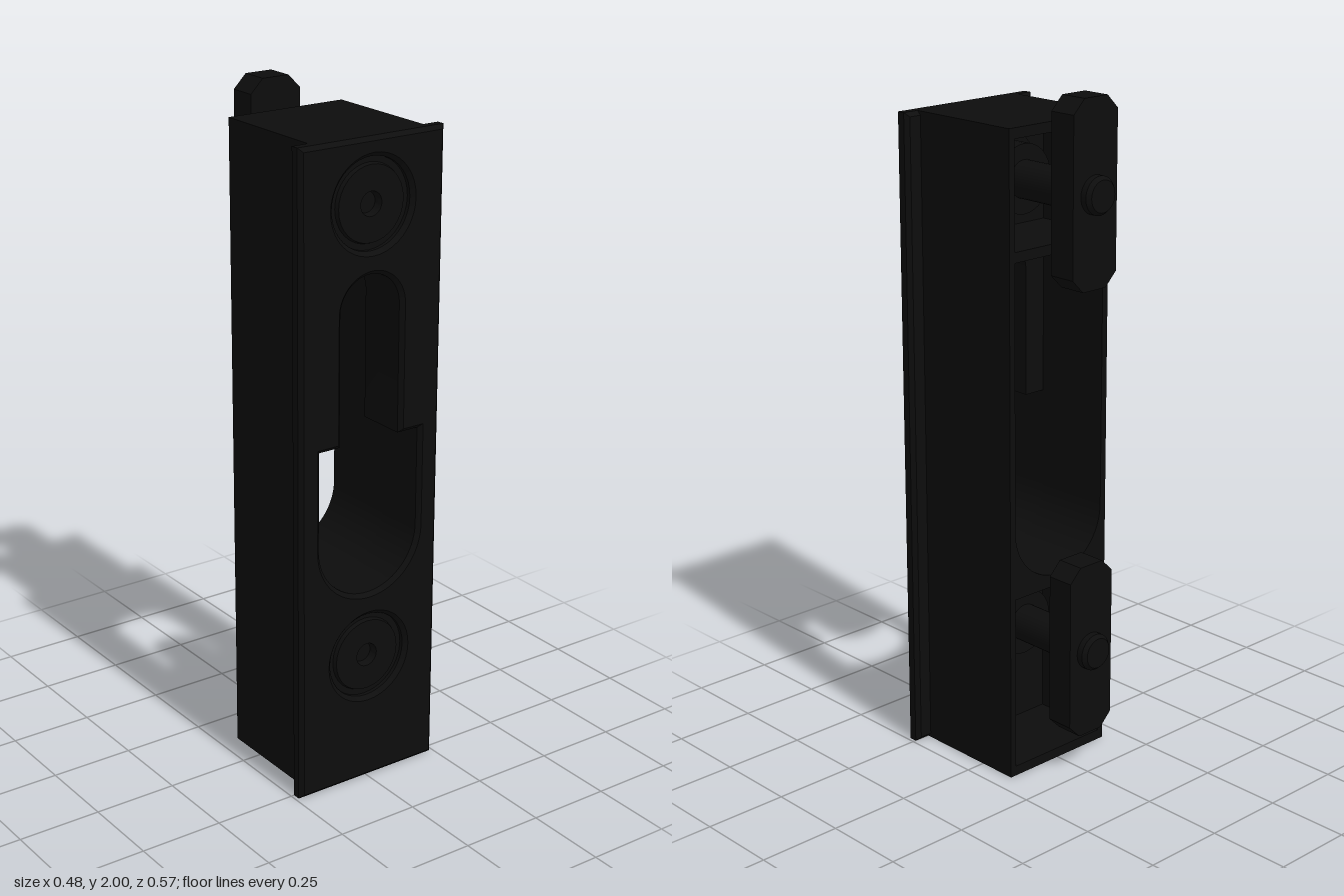
import * as THREE from 'three';
import { toCreasedNormals } from 'three/addons/utils/BufferGeometryUtils.js';

const BOLT_HEIGHTS = [0.395, 1.735];
const TOP = 1.92;

// closed outline from corner points
function outline(points, Type = THREE.Shape) {
  const s = new Type();
  points.forEach(([x, y], i) => (i ? s.lineTo(x, y) : s.moveTo(x, y)));
  s.closePath();
  return s;
}

const rect = (w, y0, y1, Type) => outline([[-w, y0], [w, y0], [w, y1], [-w, y1]], Type);

// stepped keyhole: narrow arched slot over a wide round-bottomed one
function keyhole() {
  const p = new THREE.Path();
  p.moveTo(0.17, 1.06);
  p.lineTo(0.1, 1.06);
  p.lineTo(0.1, 1.44);
  p.absarc(0, 1.44, 0.1, 0, Math.PI, false);
  p.lineTo(-0.1, 1.06);
  p.lineTo(-0.17, 1.06);
  p.lineTo(-0.17, 0.765);
  p.absarc(0, 0.765, 0.17, Math.PI, Math.PI * 2, false);
  p.lineTo(0.17, 1.06);
  return p;
}

// open-backed middle chamber, as wide as the lower slot
function chamber() {
  const p = new THREE.Path();
  p.moveTo(0.17, 1.55);
  p.lineTo(-0.17, 1.55);
  p.lineTo(-0.17, 0.765);
  p.absarc(0, 0.765, 0.17, Math.PI, Math.PI * 2, false);
  p.lineTo(0.17, 1.55);
  return p;
}

function boltHoles() {
  return BOLT_HEIGHTS.map((y) => {
    const p = new THREE.Path();
    p.absarc(0, y, 0.13, 0, Math.PI * 2, true);
    return p;
  });
}

// extrude a shape between two depths, with an optional edge bevel
function slab(shape, z0, z1, bevel = 0) {
  const geo = new THREE.ExtrudeGeometry(shape, {
    depth: z1 - z0 - 2 * bevel,
    bevelEnabled: bevel > 0,
    bevelThickness: bevel,
    bevelSize: bevel,
    bevelOffset: -bevel,
    bevelSegments: 1,
    curveSegments: 20,
  });
  geo.translate(0, 0, z0 + bevel);
  return toCreasedNormals(geo, 0.5);
}

export function createModel() {
  const model = new THREE.Group();
  model.name = 'lockKeeper';
  const black = new THREE.MeshStandardMaterial({ color: 0x0d0d0d });
  black.name = 'black';

  const add = (name, geo, y = 0) => {
    const mesh = new THREE.Mesh(geo, black);
    mesh.name = name;
    mesh.position.y = y;
    model.add(mesh);
  };

  // wide front plate with softened edges
  const face = rect(0.24, 0, TOP);
  face.holes.push(keyhole(), ...boltHoles());
  add('facePlate', slab(face, 0.237, 0.285, 0.012));

  // thick front wall of the housing
  const wall = rect(0.19, 0, TOP);
  wall.holes.push(keyhole(), ...boltHoles());
  add('frontWall', slab(wall, 0.12, 0.271));

  // thin-walled housing, open at the back
  const shell = rect(0.19, 0, TOP);
  shell.holes.push(
    rect(0.17, 0.03, 0.56, THREE.Path),
    chamber(),
    rect(0.17, 1.58, 1.89, THREE.Path),
  );
  add('housing', slab(shell, -0.122, 0.12));

  // bolt turned in one piece: tip, shank, boss, recessed head and socket
  const profile = [
    [0, -0.288], [0.045, -0.288], [0.055, -0.276], [0.055, 0.02],
    [0.1, 0.02], [0.1, 0.11], [0.13, 0.11], [0.13, 0.262],
    [0.112, 0.262], [0.108, 0.274], [0.035, 0.274], [0.03, 0.25], [0, 0.25],
  ].map(([r, y]) => new THREE.Vector2(r, y));
  const bolt = toCreasedNormals(new THREE.LatheGeometry(profile, 32), 0.5);
  bolt.rotateX(Math.PI / 2);

  // clamping tab with cut corners
  const w = 0.083, h = 0.265, c = 0.04;
  const tab = slab(outline([
    [-w + c, -h], [w - c, -h], [w, -h + c], [w, h - c],
    [w - c, h], [-w + c, h], [-w, h - c], [-w, -h + c],
  ]), -0.257, -0.172);

  BOLT_HEIGHTS.forEach((y, i) => {
    const side = i ? 'upper' : 'lower';
    add(side + 'Bolt', bolt, y);
    add(side + 'ClampTab', tab, i ? 1.735 : 0.398);
  });

  return model;
}
